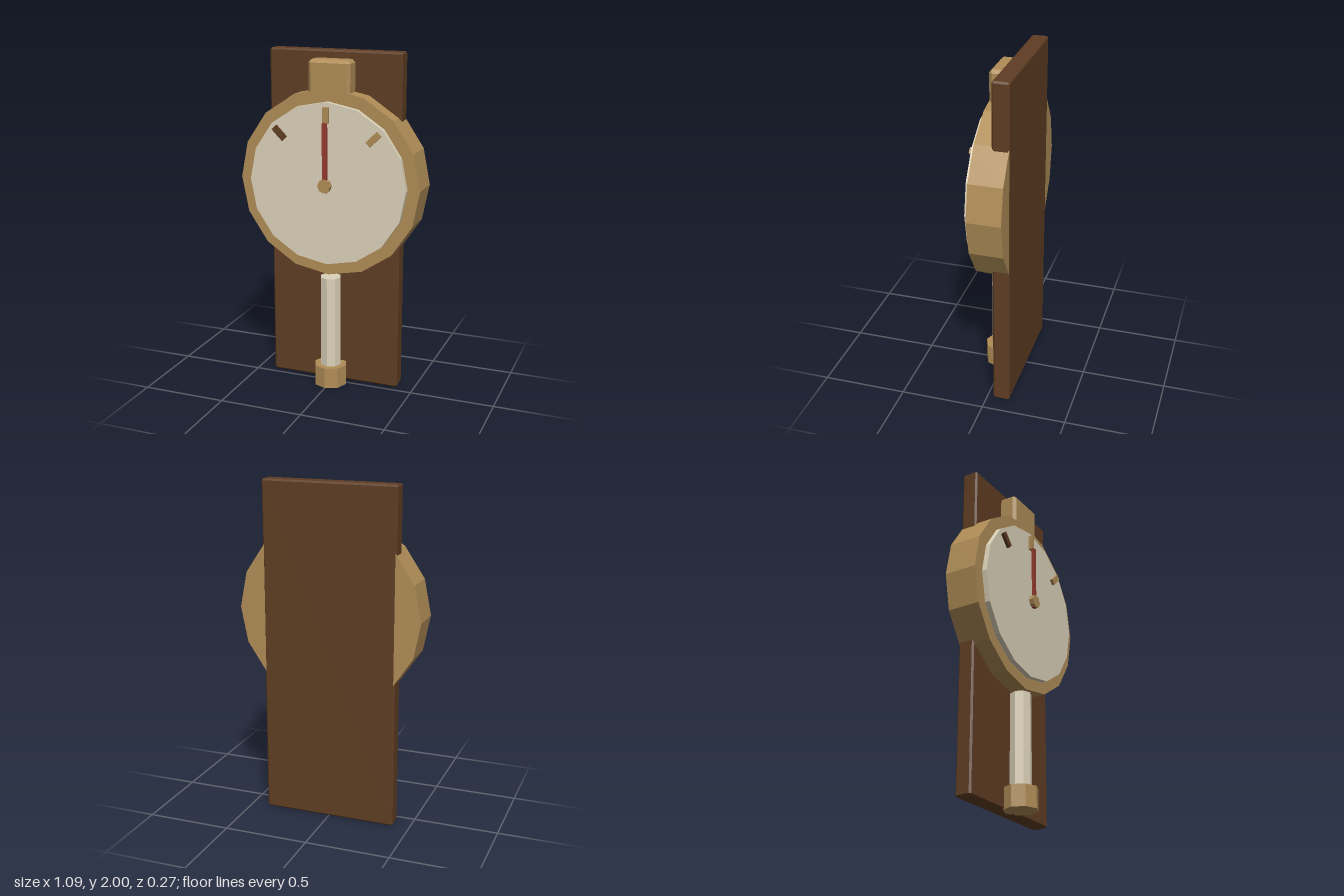
import * as THREE from 'three';
import { ConvexGeometry } from 'three/addons/geometries/ConvexGeometry.js';

const material = (name, color) => {
  const m = new THREE.MeshStandardMaterial({ color, flatShading: true });
  m.name = name;
  return m;
};

// Box with every edge cut by a chamfer c
function chamferBox(w, h, d, c) {
  const points = [];
  for (const sx of [-1, 1]) for (const sy of [-1, 1]) for (const sz of [-1, 1]) {
    for (let face = 0; face < 3; face++) {
      points.push(new THREE.Vector3(
        sx * (w / 2 - (face === 0 ? 0 : c)),
        sy * (h / 2 - (face === 1 ? 0 : c)),
        sz * (d / 2 - (face === 2 ? 0 : c))));
    }
  }
  return new ConvexGeometry(points);
}

// Disc facing +z between two depths
function disc(radius, back, front, sides) {
  return new THREE.CylinderGeometry(radius, radius, front - back, sides)
    .rotateY(Math.PI / 2)
    .rotateX(Math.PI / 2)
    .translate(0, 0, (front + back) / 2);
}

export function createModel() {
  const wood = material('dark wood', 0x5f3d23);
  const brass = material('brass', 0xb08d57);
  const ivory = material('ivory', 0xdcd2b9);
  const red = material('needle red', 0x943a2e);

  const model = new THREE.Group();
  model.name = 'wallGauge';
  const add = (name, geometry, mat, x, y, z, parent = model) => {
    const mesh = new THREE.Mesh(geometry, mat);
    mesh.name = name;
    mesh.position.set(x, y, z);
    parent.add(mesh);
    return mesh;
  };

  // Mounting board
  add('backBoard', chamferBox(0.8, 2, 0.098, 0.01), wood, 0, 1, -0.086);

  // Gauge: case, dial, markers, needle and hub around its own centre
  const gauge = new THREE.Group();
  gauge.name = 'gauge';
  gauge.position.y = 1.25;
  model.add(gauge);
  add('case', disc(0.547, -0.133, 0.063, 16), brass, 0, 0, 0, gauge);
  add('dial', disc(0.475, 0.06, 0.094, 16), ivory, 0, 0, 0, gauge);
  [['leftMarker', -1, brass], ['topMarker', 0, brass], ['rightMarker', 1, wood]].forEach(([name, step, mat]) => {
    const angle = step * Math.PI / 4;
    const marker = add(name, new THREE.BoxGeometry(0.036, 0.09, 0.02), mat,
      -Math.sin(angle) * 0.402, Math.cos(angle) * 0.402, 0.102, gauge);
    marker.rotation.z = angle;
  });
  add('needle', new THREE.BoxGeometry(0.028, 0.4, 0.014), red, 0, 0.16, 0.119, gauge);
  add('hub', disc(0.04, 0.108, 0.135, 8), brass, 0, 0, 0, gauge);

  // Cap block on top of the case
  add('topCap', chamferBox(0.25, 0.275, 0.163, 0.018), brass, 0, 1.8175, -0.0185);

  // Stem and foot under the case
  add('stem', new THREE.CylinderGeometry(0.063, 0.063, 0.58, 8), ivory, 0, 0.39, 0.025);
  add('foot', new THREE.CylinderGeometry(0.1, 0.1, 0.125, 8), brass, 0, 0.0625, 0.025);

  return model;
}
